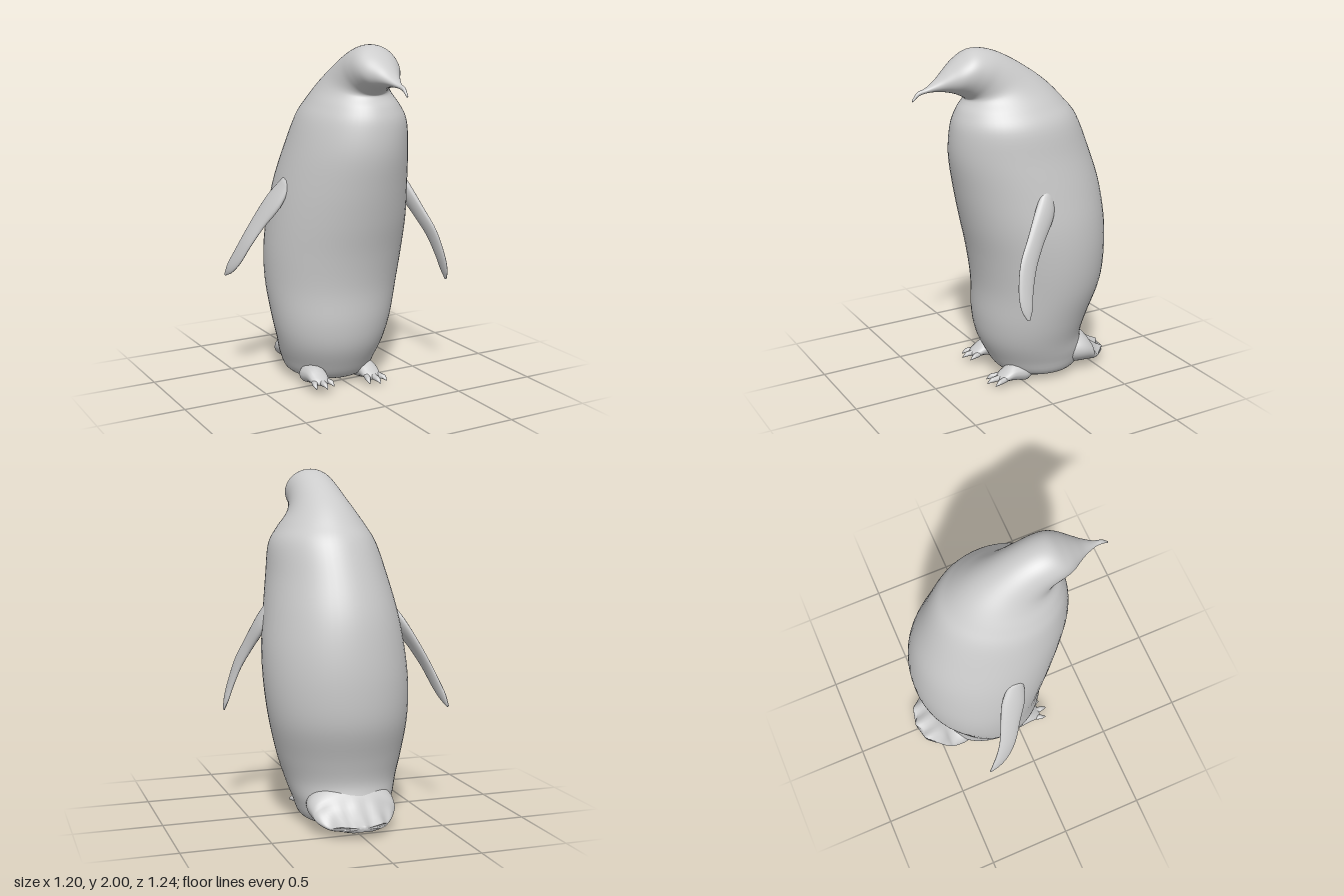
import * as THREE from 'three';

const V = (x, y, z) => new THREE.Vector3(x, y, z);
const material = new THREE.MeshStandardMaterial({ color: 0xcccccc, roughness: 0.8 });

// Smooth closed loft through elliptical sections { c: centre, u, v: half axes };
// warp can move each finished point by a rule.
function loft(name, sections, { steps = 5, sides = 32, warp } = {}) {
  const n = (sections.length - 1) * steps;
  const curve = (key) => new THREE.CatmullRomCurve3(sections.map((s) => s[key]), false, 'catmullrom', 0.5);
  const [cc, cu, cv] = ['c', 'u', 'v'].map(curve);
  const s0 = sections[0];
  const turn = s0.u.clone().cross(s0.v).dot(sections[1].c.clone().sub(s0.c)) < 0 ? -1 : 1;
  const pos = [];
  const index = [];
  const add = (p) => {
    if (warp) warp(p);
    pos.push(p.x, p.y, p.z);
  };
  for (let i = 0; i <= n; i++) {
    const c = cc.getPoint(i / n);
    const u = cu.getPoint(i / n);
    const v = cv.getPoint(i / n);
    for (let j = 0; j < sides; j++) {
      const a = (turn * j * Math.PI * 2) / sides;
      add(c.clone().addScaledVector(u, Math.cos(a)).addScaledVector(v, Math.sin(a)));
    }
  }
  add(s0.c.clone());
  add(sections[sections.length - 1].c.clone());
  const first = (n + 1) * sides;
  for (let j = 0; j < sides; j++) {
    const k = (j + 1) % sides;
    for (let i = 0; i < n; i++) {
      const a = i * sides + j, b = i * sides + k;
      index.push(a, b, a + sides, b, b + sides, a + sides);
    }
    index.push(first, k, j, first + 1, n * sides + j, n * sides + k);
  }
  const g = new THREE.BufferGeometry();
  g.setAttribute('position', new THREE.Float32BufferAttribute(pos, 3));
  g.setIndex(index);
  g.computeVertexNormals();
  const mesh = new THREE.Mesh(g, material);
  mesh.name = name;
  return mesh;
}

// Section spanning a front and a back point in the z-y plane
const span = ([fz, fy, bz, by, half, cx]) => ({
  c: V(cx, (fy + by) / 2, (fz + bz) / 2),
  u: V(half, 0, 0),
  v: V(0, (fy - by) / 2, (fz - bz) / 2),
});

// Flat blade along a path of [x, y, z, half chord, half thickness]
function flipper(name, path) {
  const pts = path.map((p) => V(p[0], p[1], p[2]));
  const sections = path.map((p, i) => {
    const t = pts[Math.min(i + 1, pts.length - 1)].clone().sub(pts[Math.max(i - 1, 0)]).normalize();
    const out = V(1, 0, 0).addScaledVector(t, -t.x).normalize();
    const chord = t.clone().cross(out).normalize();
    return { c: pts[i], u: out.multiplyScalar(p[4]), v: chord.multiplyScalar(p[3]) };
  });
  return loft(name, sections, { sides: 20 });
}

// Round limb along a path of [x, y, z, half width, half height]
const limb = (name, path) =>
  loft(name, path.map(([x, y, z, w, h]) => ({ c: V(x, y, z), u: V(w, 0, 0), v: V(0, h, 0) })), { sides: 14 });

// Foot with three splayed toes ending in claws
function foot(name, x, lift, reach) {
  const g = new THREE.Group();
  g.name = name;
  g.add(limb('ankle', [
    [x, 0.06 + lift, -0.07, 0.03, 0.02],
    [x, 0.065 + lift, -0.02, 0.065, 0.055],
    [x, 0.075 + lift, 0.06, 0.062, 0.05],
    [x, 0.06 + lift, 0.12, 0.055, 0.028],
    [x, 0.05 + lift, 0.155, 0.03, 0.012],
  ]));
  for (const s of [-1, 0, 1]) {
    const end = reach - 0.025 * Math.abs(s);
    g.add(limb('toe', [
      [x + s * 0.025, 0.06 + lift, 0.08, 0.018, 0.02],
      [x + s * 0.042, 0.052 + lift, end - 0.055, 0.018, 0.016],
      [x + s * 0.052, 0.05 + lift, end - 0.025, 0.014, 0.013],
      [x + s * 0.056, 0.036 + lift, end, 0.003, 0.003],
    ]));
  }
  return g;
}

export function createModel() {
  const model = new THREE.Group();
  model.name = 'penguin';

  // Torso, neck, head and beak: front z, front y, back z, back y, half width, centre x
  const body = [
    [-0.02, 0.012, -0.3, 0.012, 0.1, 0],
    [0.07, 0.05, -0.42, 0.035, 0.235, -0.005],
    [0.13, 0.14, -0.465, 0.14, 0.285, -0.01],
    [0.185, 0.26, -0.447, 0.26, 0.325, -0.01],
    [0.21, 0.4, -0.48, 0.4, 0.362, -0.003],
    [0.217, 0.6, -0.547, 0.6, 0.397, 0.012],
    [0.25, 0.8, -0.565, 0.8, 0.412, 0.022],
    [0.3, 1.0, -0.555, 1.0, 0.405, 0.03],
    [0.345, 1.2, -0.52, 1.2, 0.378, 0.033],
    [0.38, 1.4, -0.45, 1.4, 0.34, 0.04],
    [0.375, 1.56, -0.365, 1.59, 0.302, 0.052],
    [0.345, 1.65, -0.285, 1.69, 0.25, 0.05],
    [0.31, 1.7, -0.19, 1.785, 0.198, 0.046],
    [0.3, 1.717, -0.08, 1.865, 0.168, 0.045],
    [0.302, 1.726, 0.06, 1.947, 0.15, 0.045],
    [0.32, 1.737, 0.175, 1.991, 0.143, 0.045],
    [0.35, 1.752, 0.27, 1.996, 0.134, 0.045],
    [0.385, 1.765, 0.345, 1.957, 0.115, 0.045],
    [0.425, 1.775, 0.415, 1.902, 0.08, 0.046],
    [0.47, 1.782, 0.475, 1.85, 0.048, 0.047],
    [0.53, 1.782, 0.54, 1.808, 0.02, 0.047],
    [0.58, 1.77, 0.588, 1.791, 0.011, 0.047],
    [0.617, 1.74, 0.622, 1.75, 0.005, 0.047],
  ];
  model.add(loft('bodyAndHead', body.map(span), { sides: 56 }));

  // Tail fan: z, bottom y, top y, half width; the far edge is cut into feather tips
  const tail = [
    [-0.25, 0.03, 0.26, 0.22],
    [-0.36, 0.02, 0.27, 0.25],
    [-0.43, 0.018, 0.235, 0.245],
    [-0.49, 0.022, 0.155, 0.225],
    [-0.55, 0.03, 0.105, 0.195],
    [-0.6, 0.045, 0.075, 0.16],
  ];
  model.add(loft('tail', tail.map(([z, lo, hi, w]) => ({
    c: V(0.01, (lo + hi) / 2, z), u: V(w, 0, 0), v: V(0, (hi - lo) / 2, 0),
  })), {
    sides: 64,
    warp: (p) => {
      const k = Math.max(0, (-p.z - 0.45) / 0.15);
      const x = p.x - 0.01;
      p.z += k * (2.2 * x * x - 0.012 * Math.cos(x * 58) - 0.006);
      p.y += k * 0.006 * Math.cos(x * 58);
    },
  }));

  // Flippers: the left swings forward, the right swings back
  model.add(flipper('leftFlipper', [
    [0.375, 1.24, -0.03, 0.035, 0.02],
    [0.415, 1.13, 0.015, 0.062, 0.028],
    [0.465, 1.0, 0.1, 0.055, 0.022],
    [0.51, 0.88, 0.172, 0.054, 0.018],
    [0.548, 0.75, 0.21, 0.046, 0.016],
    [0.573, 0.66, 0.217, 0.035, 0.013],
    [0.588, 0.6, 0.215, 0.008, 0.005],
  ]));
  model.add(flipper('rightFlipper', [
    [-0.32, 1.23, -0.06, 0.045, 0.02],
    [-0.385, 1.11, -0.105, 0.075, 0.028],
    [-0.46, 0.985, -0.155, 0.064, 0.022],
    [-0.52, 0.87, -0.195, 0.056, 0.018],
    [-0.56, 0.77, -0.24, 0.05, 0.016],
    [-0.585, 0.7, -0.29, 0.036, 0.013],
    [-0.598, 0.65, -0.337, 0.008, 0.005],
  ]));

  model.add(foot('rightFoot', -0.21, 0.012, 0.21));
  model.add(foot('leftFoot', 0.135, -0.01, 0.225));
  return model;
}
